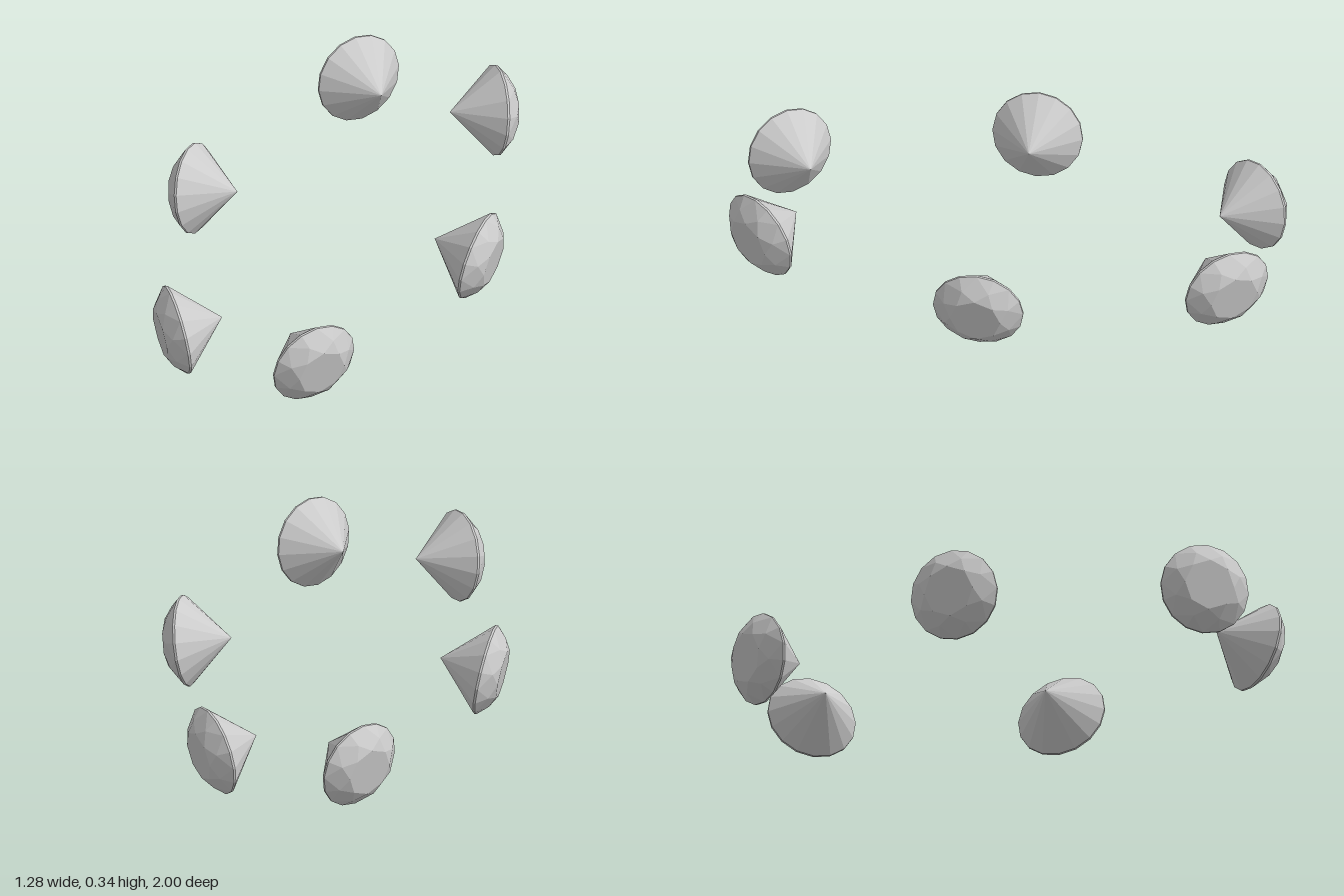
import * as THREE from 'three';

// Brilliant-cut gem: axis along +x, table (flat crown top) facing +x, tip facing -x
function gemGeometry() {
  const girdleR = 0.168, tableR = 0.094, tableH = 0.064, halfGirdle = 0.004, tipDepth = 0.173;
  const starR = 0.13;
  // height that keeps the kite facets flat
  const starH = tableH - (tableH - halfGirdle) * (starR * Math.cos(Math.PI / 8) - tableR) / (girdleR - tableR);

  const point = (r, h, j) => {
    const a = j * Math.PI / 8;
    return [h, r * Math.cos(a), r * Math.sin(a)];
  };
  const table = j => point(tableR, tableH, j);
  const star = j => point(starR, starH, j);
  const upper = j => point(girdleR, halfGirdle, j);
  const lower = j => point(girdleR, -halfGirdle, j);

  const positions = [];
  const facet = (...p) => {
    for (let i = 1; i < p.length - 1; i++) positions.push(...p[0], ...p[i], ...p[i + 1]);
  };

  // Crown: table, star, kite and upper girdle facets
  for (let k = 0; k < 16; k += 2) {
    facet([tableH, 0, 0], table(k), table(k + 2));
    facet(table(k), star(k + 1), table(k + 2));
    facet(table(k), star(k - 1), upper(k), star(k + 1));
    facet(star(k + 1), upper(k), upper(k + 1));
    facet(star(k + 1), upper(k + 1), upper(k + 2));
  }
  // Thin girdle band and pointed pavilion
  for (let j = 0; j < 16; j++) {
    facet(upper(j), lower(j), lower(j + 1), upper(j + 1));
    facet(lower(j), [-tipDepth, 0, 0], lower(j + 1));
  }

  const geometry = new THREE.BufferGeometry();
  geometry.setAttribute('position', new THREE.Float32BufferAttribute(positions, 3));
  geometry.computeVertexNormals();
  return geometry;
}

export function createModel() {
  const group = new THREE.Group();
  group.name = 'gemRing';
  const geometry = gemGeometry();
  const material = new THREE.MeshStandardMaterial({ color: 0xcccccc, flatShading: true });

  // Gem with its table turned to the given heading and tipped slightly downward
  const addGem = (name, x, y, z, heading, tilt) => {
    const gem = new THREE.Mesh(geometry, material);
    gem.name = name;
    gem.position.set(x, y, z);
    gem.rotation.order = 'YXZ';
    gem.rotation.y = -heading;
    gem.rotation.z = -THREE.MathUtils.degToRad(tilt);
    group.add(gem);
  };

  for (const [side, sx] of [['left', 1], ['right', -1]]) {
    addGem(side + 'SideGem', sx * 0.56, 0.167, 0, sx > 0 ? 0 : Math.PI, 10);
    for (const [end, sz] of [['Front', 1], ['Back', -1]]) {
      const yaw = THREE.MathUtils.degToRad(38);
      const heading = Math.atan2(sz * Math.sin(yaw), sx * Math.cos(yaw));
      addGem(side + end + 'Gem', sx * 0.27, 0.176, sz * 0.866, heading, 8);
    }
  }
  return group;
}
